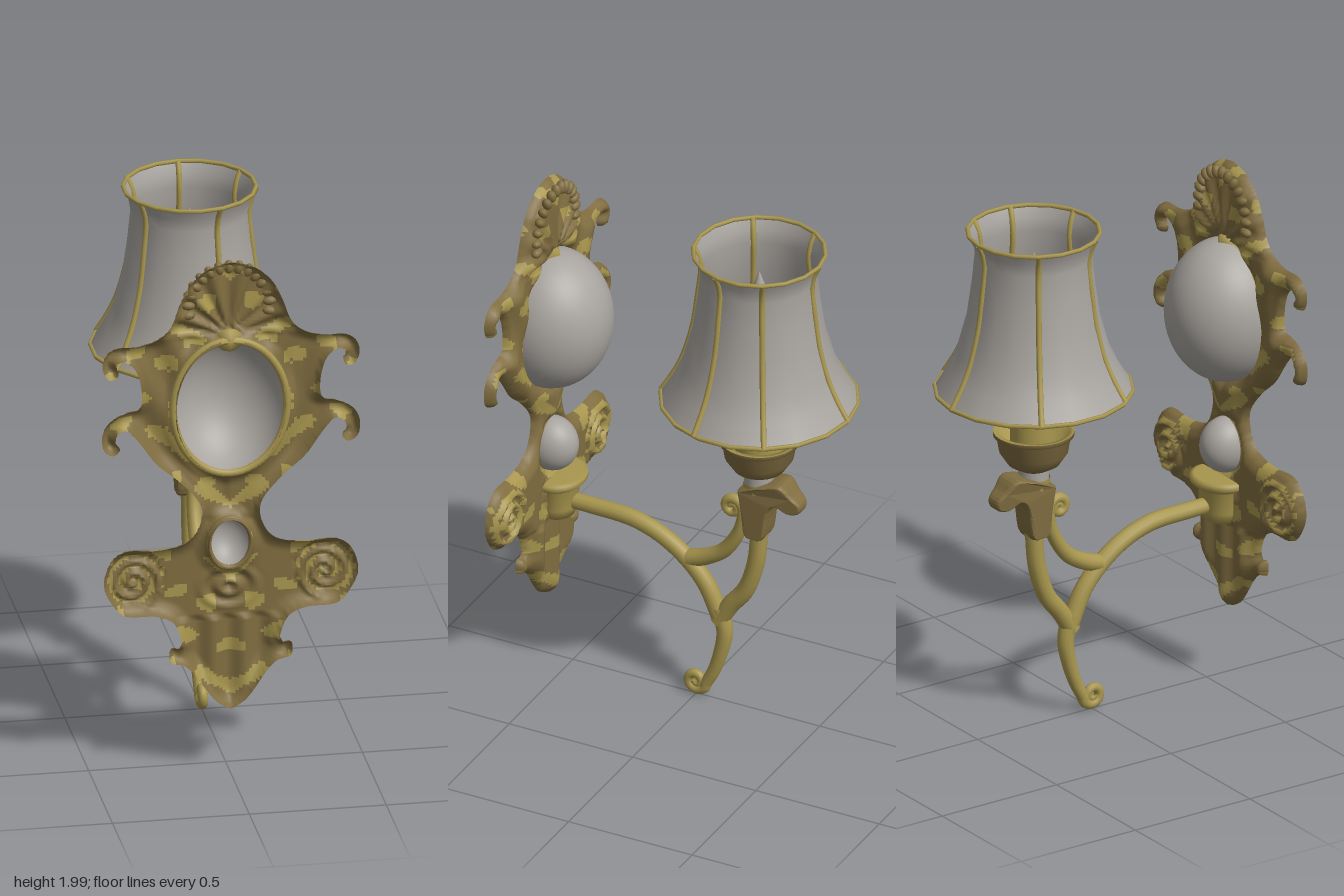
import * as THREE from 'three';

const mat = (name, color) => {
  const m = new THREE.MeshStandardMaterial({ color, side: THREE.DoubleSide });
  m.name = name;
  return m;
};
const V2 = (a) => new THREE.Vector2(a[0], a[1]);

// Half outline of the wall plate, from the crest down to the lower tip
const HALF = [[0, 2], [.08, 1.98], [.15, 1.92], [.19, 1.84], [.22, 1.76], [.27, 1.715], [.34, 1.695], [.41, 1.695],
  [.455, 1.67], [.47, 1.62], [.45, 1.575], [.42, 1.575], [.41, 1.6], [.425, 1.625], [.4, 1.64], [.36, 1.62], [.335, 1.57],
  [.325, 1.5], [.335, 1.45], [.38, 1.44], [.44, 1.41], [.47, 1.36], [.465, 1.3], [.43, 1.275], [.405, 1.3], [.425, 1.33],
  [.41, 1.36], [.38, 1.37], [.35, 1.34], [.32, 1.3], [.27, 1.23], [.19, 1.16], [.12, 1.08], [.105, 1.02], [.13, .95],
  [.18, .91], [.28, .895], [.38, .9], [.44, .86], [.465, .77], [.43, .69], [.38, .645], [.28, .64], [.21, .61], [.18, .54],
  [.18, .505], [.22, .51], [.22, .455], [.17, .44], [.13, .4], [.09, .34], [.05, .29], [0, .26]];
// Oval openings: centre height, half width, half height
const OVALS = [[1.43, .2, .26], [.9, .08, .095]];

const ellipse = (cy, rx, ry, n) => Array.from({ length: n }, (_, i) => {
  const a = i / n * Math.PI * 2;
  return [rx * Math.cos(a), cy + ry * Math.sin(a)];
});

// Embossed sheet: a grid clipped to the outline, raised by distance from the edge
function plateGeometry() {
  const half = new THREE.SplineCurve(HALF.map(V2)).getPoints(150).map((p) => [p.x, p.y]);
  const loops = [[...half, ...half.slice(1, -1).reverse().map(([x, y]) => [-x, y])],
    ...OVALS.map(([cy, rx, ry]) => ellipse(cy, rx, ry, 64))];
  const nearest = (x, y) => {
    let best = 1e9, bx = 0, by = 0, inside = false;
    for (const loop of loops) {
      for (let i = 0; i < loop.length; i++) {
        const [ax, ay] = loop[i], [cx, cy] = loop[(i + 1) % loop.length];
        const dx = cx - ax, dy = cy - ay;
        const t = Math.min(1, Math.max(0, ((x - ax) * dx + (y - ay) * dy) / (dx * dx + dy * dy || 1)));
        const px = ax + t * dx, py = ay + t * dy, d = Math.hypot(x - px, y - py);
        if (d < best) { best = d; bx = px; by = py; }
        if ((ay > y) !== (cy > y) && x < ax + (y - ay) / dy * dx) inside = !inside;
      }
    }
    return { d: best, bx, by, inside };
  };
  const relief = (x, y, d) => {
    const ax = Math.abs(x), fade = Math.min(1, d / .035);
    let h = .046 * Math.pow(Math.min(1, d / .05), .4);
    const sr = Math.hypot(ax - .35, y - .76);           // side volutes
    if (sr < .11) h += .014 * fade * Math.cos(sr / .045 * 6.283 - Math.atan2(y - .76, ax - .35));
    const cr = Math.hypot(x, y - 1.7);                  // shell crest
    if (y > 1.7 && cr < .25) h += .01 * fade * Math.cos(Math.atan2(x, y - 1.7) * 14);
    const lr = Math.hypot(x, (y - .72) * 1.3);          // middle palmette
    if (lr < .14) h += .014 * fade * Math.cos(lr / .07 * 6.283) * Math.cos(lr / .14 * 1.57);
    if (y < .6) h += .012 * fade * Math.cos(x * 55);    // lower leaf
    if (y > 1 && y < 1.7) h += .009 * fade * Math.cos(ax * 40 - y * 18);
    return .617 - h;
  };
  // Bright brass on worn ridges, volutes and the band around the large oval
  const worn = (x, y) => {
    const tone = Math.sin(x * 37 + 2 * Math.sin(y * 27)) + Math.sin(y * 43 - x * 19);
    const e = Math.hypot(x / .2, (y - 1.43) / .26), sr = Math.hypot(x - .35, y - .76);
    if (e < 1.25) return tone > .2;
    if (sr < .11) return Math.cos(sr / .045 * 6.283 - Math.atan2(y - .76, x - .35)) > .35;
    return tone > .95;
  };
  const s = .0118, nx = 82, ny = 150, pos = [], info = [], lit = [], dark = [];
  for (let j = 0; j <= ny; j++) {
    for (let i = 0; i <= nx; i++) {
      const x = (i - nx / 2) * s, y = .245 + j * s, n = nearest(x, y);
      info.push(n);
      if (n.inside) pos.push(x, y, relief(x, y, n.d));
      else pos.push(n.bx, n.by, .617);
    }
  }
  for (let j = 0; j < ny; j++) {
    for (let i = 0; i < nx; i++) {
      const a = j * (nx + 1) + i, b = a + 1, c = a + nx + 1, e = c + 1;
      const q = [a, b, c, e].map((k) => info[k]);
      if (!q.some((n) => n.inside) || q.some((n) => !n.inside && n.d > s * 1.5)) continue;
      (worn(Math.abs(pos[a * 3]), pos[a * 3 + 1]) ? lit : dark).push(a, c, b, b, c, e);
    }
  }
  const g = new THREE.BufferGeometry();
  g.setAttribute('position', new THREE.Float32BufferAttribute(pos, 3));
  g.setIndex([...lit, ...dark]);
  g.addGroup(0, lit.length, 0);
  g.addGroup(lit.length, dark.length, 1);
  g.computeVertexNormals();
  return g;
}

// Tube in the side plane through [z, y] points, tapering from r0 to r1
function taperTube(pts, r0, r1) {
  const curve = new THREE.CatmullRomCurve3(pts.map(([z, y]) => new THREE.Vector3(0, y, z)));
  const n = pts.length * 5, g = new THREE.TubeGeometry(curve, n, 1, 12), p = g.attributes.position;
  for (let i = 0; i <= n; i++) {
    const c = curve.getPointAt(i / n), r = r0 + (r1 - r0) * i / n;
    for (let k = 0; k <= 12; k++) {
      const v = new THREE.Vector3().fromBufferAttribute(p, i * 13 + k).sub(c).multiplyScalar(r).add(c);
      p.setXYZ(i * 13 + k, v.x, v.y, v.z);
    }
  }
  return g;
}

// Inward spiral of [z, y] points; dir 1 winds upward first, -1 downward
const spiral = (z, y, r, dir) => Array.from({ length: 16 }, (_, i) => {
  const a = i * .62, k = r * (1 - i / 19);
  return [z - k * Math.cos(a), y + dir * k * Math.sin(a)];
});

export function createModel() {
  const root = new THREE.Group();
  root.name = 'wallLamp';
  const brass = mat('brass', 0xa8964e), dark = mat('agedBrass', 0x806d40), grey = mat('paleGrey', 0xa8a49f);
  const add = (name, geo, m, x = 0, y = 0, z = 0, parent = root) => {
    const mesh = new THREE.Mesh(geo, m);
    mesh.name = name;
    mesh.position.set(x, y, z);
    parent.add(mesh);
    return mesh;
  };
  const lathe = (pts, n = 32, a = 0, len = Math.PI * 2) => new THREE.LatheGeometry(pts.map(V2), n, a, len);

  // Wall plate with oval cabochons and rims
  add('wallPlate', plateGeometry(), [brass, dark]);
  [[1.43, .222, .272, .228, .014], [.9, .088, .106, .103, .01]].forEach(([y, rx, ry, rz, t]) => {
    const dome = new THREE.SphereGeometry(1, 40, 16, 0, Math.PI * 2, 0, Math.PI / 2).rotateX(-Math.PI / 2);
    add('cabochon', dome.scale(rx, ry, rz), grey, 0, y, .588);
    const path = new THREE.CatmullRomCurve3(ellipse(y, rx - t, ry - t, 32)
      .map(([a, b]) => new THREE.Vector3(a, b, .597)), true);
    add('cabochonRim', new THREE.TubeGeometry(path, 64, t, 8, true), rx > .1 ? brass : dark);
  });

  // Scalloped crest and central leaf
  for (let i = 0; i <= 14; i++) {
    const a = (-.04 + 1.08 * i / 14) * Math.PI;
    add('crestScallop', new THREE.SphereGeometry(1, 10, 8).scale(.027, .017, .019).rotateZ(a), dark,
      .15 * Math.cos(a), 1.805 + .16 * Math.sin(a), .569);
  }
  add('crestLeaf', new THREE.SphereGeometry(1, 4, 6).scale(.05, .045, .035), brass, 0, 1.685, .583);

  // Bracket cup that carries the arm
  const cup = lathe([[0, .61], [.06, .62], [.072, .66], [.075, .74], [.095, .755], [.105, .765], [.105, .785], [.09, .79], [0, .79]],
    20, Math.PI / 2, Math.PI).scale(1.15, 1, 1);
  add('bracketCup', cup, brass, 0, 0, .56);

  // Curved arm, branches and scrolls
  add('arm', taperTube([[.55, .68], [.42, .68], [.25, .672], [.13, .63], [.03, .56], [-.04, .48], [-.095, .365]], .03, .034), brass);
  add('lowerStem', taperTube([[-.095, .4], [-.115, .3], [-.1, .21], [-.07, .12], ...spiral(0, .064, .042, -1)], .034, .014), brass);
  add('outerBranch', taperTube([[-.09, .34], [-.14, .42], [-.2, .5], [-.24, .62], [-.252, .72], [-.255, .84]], .034, .032), brass);
  add('innerBranch', taperTube([[.03, .57], [-.04, .595], [-.11, .64], [-.165, .72], [-.187, .79],
    ...spiral(-.148, .835, .04, 1)], .034, .014), brass);

  // Leafy socket with a curled tip that narrows outward
  const Z = -.255;
  const outline = new THREE.SplineCurve([[.2, .94], [.25, .965], [.31, .985], [.36, .992], [.395, .955], [.425, .925], [.42, .898],
    [.385, .892], [.34, .915], [.305, .88], [.285, .765], [.25, .755], [.22, .765], [.21, .85], [.2, .94]].map(V2));
  const leafGeo = new THREE.ExtrudeGeometry(new THREE.Shape(outline.getPoints(48)),
    { depth: .05, bevelSize: .008, bevelThickness: .022, bevelSegments: 4 }).translate(0, 0, -.025).rotateY(Math.PI / 2);
  const lp = leafGeo.attributes.position;
  for (let i = 0; i < lp.count; i++) {
    const spread = 1.1 - Math.max(0, -lp.getZ(i) - .3) * 4 + Math.max(0, lp.getY(i) - .85) * 2;
    lp.setX(i, lp.getX(i) * spread);
  }
  leafGeo.computeVertexNormals();
  add('socketLeaf', leafGeo, dark);
  add('socket', lathe([[.036, .75], [.042, .85], [.055, .93], [.06, .98]], 20), brass, 0, 0, Z);
  add('socketNeck', new THREE.CylinderGeometry(.056, .056, .07, 20), grey, 0, .99, Z);

  // Drip bowl, candle sleeve and bulb
  add('dripBowl', lathe([[0, 1.01], [.055, 1.012], [.095, 1.035], [.125, 1.08], [.135, 1.14], [.147, 1.145], [.147, 1.16]]),
    dark, 0, 0, Z);
  add('dripBowlInside', lathe([[.147, 1.16], [.13, 1.16], [.1, 1.11], [.05, 1.09], [0, 1.09]]), brass, 0, 0, Z);
  add('candleSleeve', lathe([[.086, 1.09], [.086, 1.49], [.075, 1.5]]), brass, 0, 0, Z);
  add('candleTop', new THREE.CircleGeometry(.075, 32).rotateX(-Math.PI / 2), dark, 0, 1.5, Z);
  add('bulb', lathe([[.03, 1.5], [.052, 1.56], [.058, 1.63], [.045, 1.72], [.022, 1.8], [0, 1.86]], 20), grey, 0, 0, Z);

  // Lamp shade with ribs and rims
  const profile = [[.358, 1.325], [.313, 1.4], [.277, 1.48], [.242, 1.61], [.224, 1.74], [.213, 1.85], [.222, 1.9], [.24, 1.94]];
  const shade = new THREE.Group();
  shade.name = 'lampShade';
  shade.position.z = Z;
  root.add(shade);
  add('shadePanels', lathe(profile, 18), grey, 0, 0, 0, shade);
  [profile[0], profile[7]].forEach(([r, y]) => {
    add('shadeRim', new THREE.TorusGeometry(r, .008, 6, 18).rotateX(Math.PI / 2).rotateY(Math.PI / 2), brass, 0, y, 0, shade);
  });
  const rib = taperTube(profile, .0105, .0105);
  [0, 60, 104, 162, 237, 300].forEach((deg) => {
    add('shadeRib', rib, brass, 0, 0, 0, shade).rotation.y = Math.PI - deg * Math.PI / 180;
  });
  return root;
}
